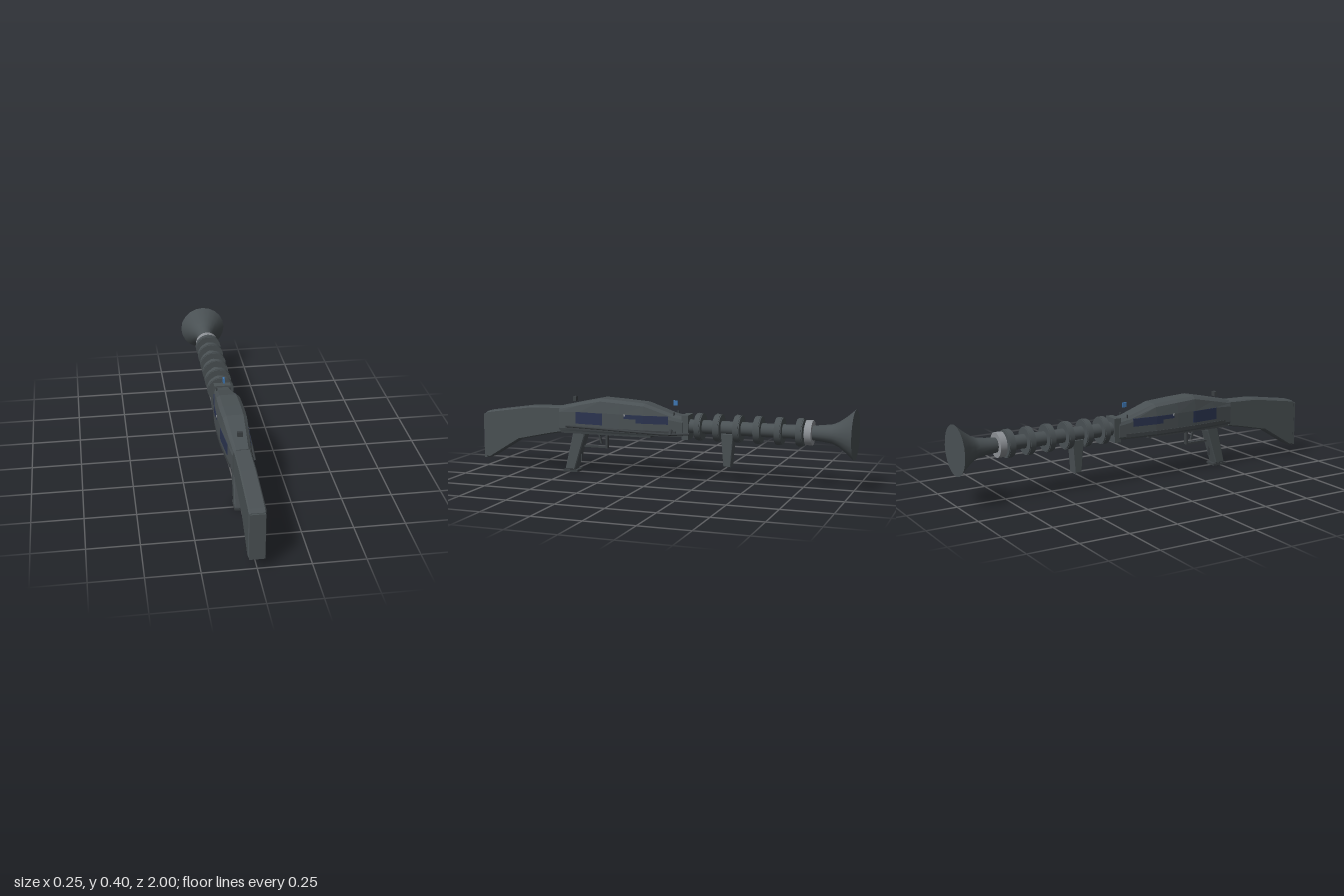
import * as THREE from 'three';

const mat = (name, color, side = THREE.FrontSide) => {
  const m = new THREE.MeshStandardMaterial({ color, side });
  m.name = name;
  return m;
};

export function createModel() {
  const root = new THREE.Group();
  const gunmetal = mat('gunmetal', 0x4a5154);
  const darkMetal = mat('darkMetal', 0x3c4144);
  const silver = mat('silver', 0x8d9196);
  const navy = mat('navyPanel', 0x2b3450, THREE.DoubleSide);
  const blue = mat('sightBlue', 0x3f78b5);

  const add = (name, geo, material, x = 0, y = 0, z = 0) => {
    const m = new THREE.Mesh(geo, material);
    m.name = name;
    m.position.set(x, y, z);
    root.add(m);
    return m;
  };
  const box = (name, w, h, d, material, x, y, z) => add(name, new THREE.BoxGeometry(w, h, d), material, x, y, z);

  // Flat-shaded skin over cross-sections running towards +z
  const loft = (sections, capped = true, closed = true) => {
    const pos = [];
    const n = sections[0].length;
    const tri = (...p) => p.forEach((q) => pos.push(...q));
    for (let i = 0; i < sections.length - 1; i++) {
      const s = sections[i], t = sections[i + 1];
      for (let j = 0; j < (closed ? n : n - 1); j++) {
        const k = (j + 1) % n;
        tri(s[j], s[k], t[j]);
        tri(s[k], t[k], t[j]);
      }
    }
    if (capped) {
      const a = sections[0], b = sections[sections.length - 1];
      for (let j = 1; j < n - 1; j++) {
        tri(a[0], a[j + 1], a[j]);
        tri(b[0], b[j], b[j + 1]);
      }
    }
    const g = new THREE.BufferGeometry();
    g.setAttribute('position', new THREE.Float32BufferAttribute(pos, 3));
    g.computeVertexNormals();
    return g;
  };

  // Side outline of [z, y] points given thickness across x
  const slab = (points, width, bevel = 0) => {
    const shape = new THREE.Shape(points.map(([z, y]) => new THREE.Vector2(z, y)));
    const depth = width - 2 * bevel;
    const g = new THREE.ExtrudeGeometry(shape, {
      depth, bevelEnabled: bevel > 0, bevelThickness: bevel, bevelSize: bevel,
      bevelOffset: -bevel, bevelSegments: 1,
    });
    g.translate(0, 0, -depth / 2);
    g.rotateY(-Math.PI / 2);
    return g;
  };

  // Receiver: [z, half width, top]
  const stations = [
    [-0.135, 0.045, 0.325], [-0.08, 0.052, 0.335], [0.07, 0.067, 0.385], [0.2, 0.07, 0.394],
    [0.31, 0.067, 0.4], [0.43, 0.058, 0.375], [0.55, 0.047, 0.348],
  ];
  const halfWidth = (z) => {
    for (let i = 0; i < stations.length - 1; i++) {
      const [z0, w0] = stations[i], [z1, w1] = stations[i + 1];
      if (z <= z1) return w0 + ((w1 - w0) * (z - z0)) / (z1 - z0);
    }
    return stations[stations.length - 1][1];
  };
  add('receiver', loft(stations.map(([z, w, top]) => {
    const side = Math.min(0.326, top - 0.03);
    const right = [[w * 0.9, 0.222], [w, 0.235], [w, side], [w * 0.88, top - 0.014], [w * 0.62, top]];
    const left = right.map(([x, y]) => [-x, y]).reverse();
    return [...right, ...left].map(([x, y]) => [x, y, z]);
  })), gunmetal);
  box('lowerReceiver', 0.075, 0.02, 0.5, darkMetal, 0, 0.218, 0.29);

  // Strips that follow the curved receiver sides
  const sideStrip = (name, sx, z0, z1, y0, y1, off, material) => {
    const zs = [z0, ...stations.map((s) => s[0]).filter((z) => z > z0 && z < z1), z1];
    const sections = zs.map((z) => {
      const w = halfWidth(z), a = w - 0.003, b = w + off;
      const ring = [[a, y0], [b, y0], [b, y1], [a, y1]].map(([x, y]) => [sx * x, y, z]);
      return sx > 0 ? ring : ring.reverse();
    });
    add(name, loft(sections), material);
  };
  for (const sx of [1, -1]) {
    sideStrip('rearPanel', sx, 0.295, 0.45, 0.264, 0.325, 0.002, navy);
    sideStrip('frontPanel', sx, -0.06, 0.11, 0.284, 0.325, 0.002, navy);
    sideStrip('frontPanelStep', sx, 0.11, 0.175, 0.304, 0.325, 0.002, navy);
    sideStrip('lowerRail', sx, -0.1, 0.51, 0.232, 0.25, 0.004, darkMetal);
  }

  // Bent rod along the left side with its end knob
  const rodPath = new THREE.CatmullRomCurve3([
    [0.07, 0.25, 0.5], [0.08, 0.247, 0.3], [0.084, 0.242, 0.1], [0.08, 0.238, -0.06], [0.074, 0.245, -0.18],
  ].map((p) => new THREE.Vector3(...p)));
  add('sideRod', new THREE.TubeGeometry(rodPath, 20, 0.006, 6), darkMetal);
  const knob = add('rodKnob', new THREE.CylinderGeometry(0.009, 0.009, 0.03, 8), darkMetal, 0.076, 0.248, -0.08);
  knob.rotation.z = 0.5;

  // Shoulder stock with butt plate
  add('stock', slab([
    [0.54, 0.345], [0.72, 0.34], [0.975, 0.302], [0.992, 0.288], [0.992, 0.052],
    [0.965, 0.05], [0.79, 0.158], [0.62, 0.195], [0.54, 0.21],
  ], 0.08, 0.006), gunmetal);
  box('buttPlate', 0.072, 0.236, 0.016, gunmetal, 0, 0.167, 0.992);

  // Pistol grip, base and trigger
  add('pistolGrip', slab([[0.408, 0.222], [0.475, 0.222], [0.525, 0.012], [0.47, 0.012], [0.412, 0.195]], 0.064, 0.005), gunmetal);
  box('gripBase', 0.066, 0.012, 0.08, darkMetal, 0, 0.006, 0.493);
  box('gripCatch', 0.008, 0.08, 0.005, darkMetal, 0, 0.095, 0.443);
  box('triggerGuardBottom', 0.022, 0.009, 0.13, darkMetal, 0, 0.139, 0.356);
  box('triggerGuardFront', 0.022, 0.09, 0.01, darkMetal, 0, 0.179, 0.296);
  const trigger = box('trigger', 0.012, 0.06, 0.009, darkMetal, 0, 0.186, 0.335);
  trigger.rotation.x = 0.25;

  // Sights and small posts on top
  box('rearSight', 0.026, 0.024, 0.016, darkMetal, 0, 0.388, 0.474);
  box('frontSight', 0.008, 0.025, 0.023, blue, 0, 0.39, -0.082);
  for (const sx of [1, -1]) {
    box('sidePost', 0.006, 0.03, 0.007, darkMetal, sx * 0.035, 0.33, -0.085);
    box('sideStud', 0.006, 0.012, 0.008, silver, sx * 0.069, 0.323, 0.172);
  }

  // Barrel with ribs and collar, lying along z
  const disc = (name, r, length, z, material) => {
    const m = add(name, new THREE.CylinderGeometry(r, r, length, 24), material, 0, 0.275, z);
    m.rotation.x = Math.PI / 2;
  };
  disc('barrel', 0.035, 0.68, -0.46, gunmetal);
  box('barrelMount', 0.085, 0.125, 0.036, gunmetal, 0, 0.272, -0.145);
  [-0.215, -0.313, -0.417, -0.52, -0.627, -0.733].forEach((z) => {
    disc('barrelRib', 0.07, 0.024, z, gunmetal);
    disc('barrelRibCore', 0.067, 0.034, z, gunmetal);
  });
  disc('collar', 0.062, 0.034, -0.776, silver);

  // Flared muzzle closed by a flat face
  const bellPoints = [[0.036, 0.79], [0.041, 0.84], [0.048, 0.89], [0.061, 0.92], [0.09, 0.96], [0.125, 1]]
    .map(([r, d]) => new THREE.Vector2(r, d));
  const bell = add('muzzleBell', new THREE.LatheGeometry(bellPoints, 20), gunmetal, 0, 0.275, 0);
  bell.rotation.x = -Math.PI / 2;
  const face = add('muzzleFace', new THREE.CircleGeometry(0.125, 20), gunmetal, 0, 0.275, -1);
  face.rotation.y = Math.PI;

  // Tapered fore grip
  add('foreGrip', slab([[-0.33, 0.25], [-0.345, 0.08], [-0.382, 0.08], [-0.395, 0.25]].reverse(), 0.056, 0.003), gunmetal);

  return root;
}
